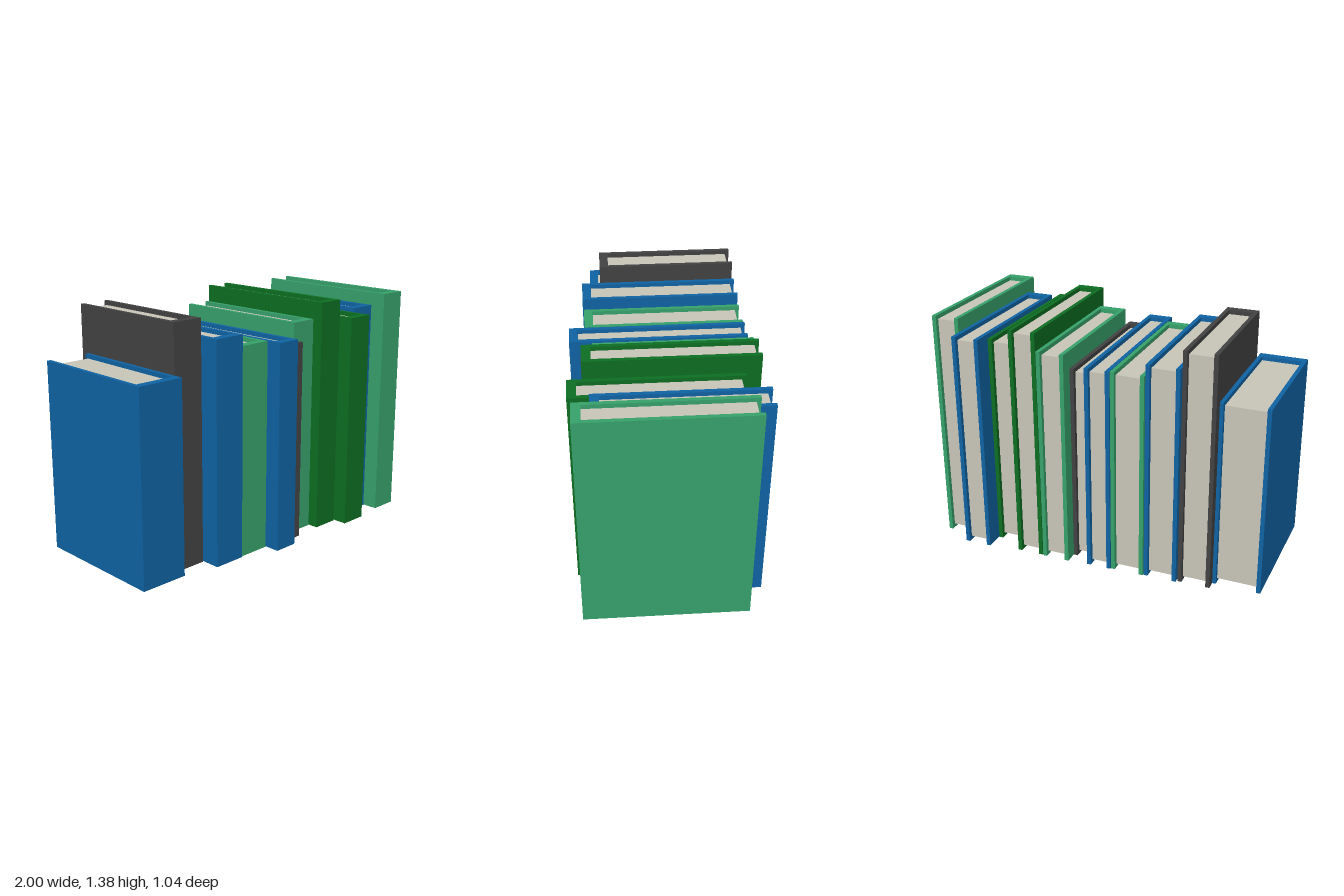
import * as THREE from 'three';

const mat = (name, color) => {
  const m = new THREE.MeshStandardMaterial({ color });
  m.name = name;
  return m;
};

export function createModel() {
  const blue = mat('blue cover', 0x0f63a3);
  const mint = mat('mint cover', 0x36a16b);
  const green = mat('dark green cover', 0x0d6e22);
  const charcoal = mat('charcoal cover', 0x424242);
  const paper = mat('paper', 0xc8c4b8);

  const COVER = 0.024; // board thickness
  const SPINE = 0.05;  // spine with its lining
  const INSET = 0.024; // pages sit back from the board edges

  // box spanning two corners
  function slab(name, material, x0, x1, y0, y1, z0, z1) {
    const mesh = new THREE.Mesh(new THREE.BoxGeometry(x1 - x0, y1 - y0, z1 - z0), material);
    mesh.position.set((x0 + x1) / 2, (y0 + y1) / 2, (z0 + z1) / 2);
    mesh.name = name;
    return mesh;
  }

  // book with its front left corner at the origin, running back along -z
  function book(w, h, d, cover) {
    const g = new THREE.Group();
    g.add(
      slab('spine', cover, 0, w, 0, h, -SPINE, 0),
      slab('frontCover', cover, 0, COVER, 0, h, -d, -SPINE),
      slab('backCover', cover, w - COVER, w, 0, h, -d, -SPINE),
      slab('pages', paper, COVER, w - COVER, INSET, h - INSET, -d + INSET, -SPINE)
    );
    return g;
  }

  // x and z of the front left corner, width, height, depth, cover, turn in degrees
  const row = [
    [-1.0, 0.326, 0.28, 1.10, 0.80, blue, 2.6],
    [-0.713, 0.275, 0.188, 1.375, 0.79, charcoal, 2],
    [-0.522, 0.39, 0.192, 1.275, 0.91, blue, 2],
    [-0.326, 0.39, 0.194, 1.21, 0.91, mint, 2],
    [-0.13, 0.485, 0.145, 1.21, 1.005, blue, 1.8],
    [0.018, 0.428, 0.108, 1.17, 0.88, charcoal, 2],
    [0.13, 0.363, 0.163, 1.27, 0.885, mint, 2],
    [0.296, 0.428, 0.16, 1.37, 0.94, green, 2],
    [0.464, 0.514, 0.164, 1.27, 0.936, green, 2],
    [0.634, 0.405, 0.163, 1.295, 0.93, blue, 2],
    [0.8, 0.5, 0.166, 1.37, 0.93, mint, 2],
  ];

  const model = new THREE.Group();
  model.name = 'rowOfBooks';
  row.forEach(([x, z, w, h, d, cover, turn], i) => {
    const b = book(w, h, d, cover);
    b.position.set(x, 0, z);
    b.rotation.y = -THREE.MathUtils.degToRad(turn);
    b.name = `book${i + 1}`;
    model.add(b);
  });
  return model;
}
